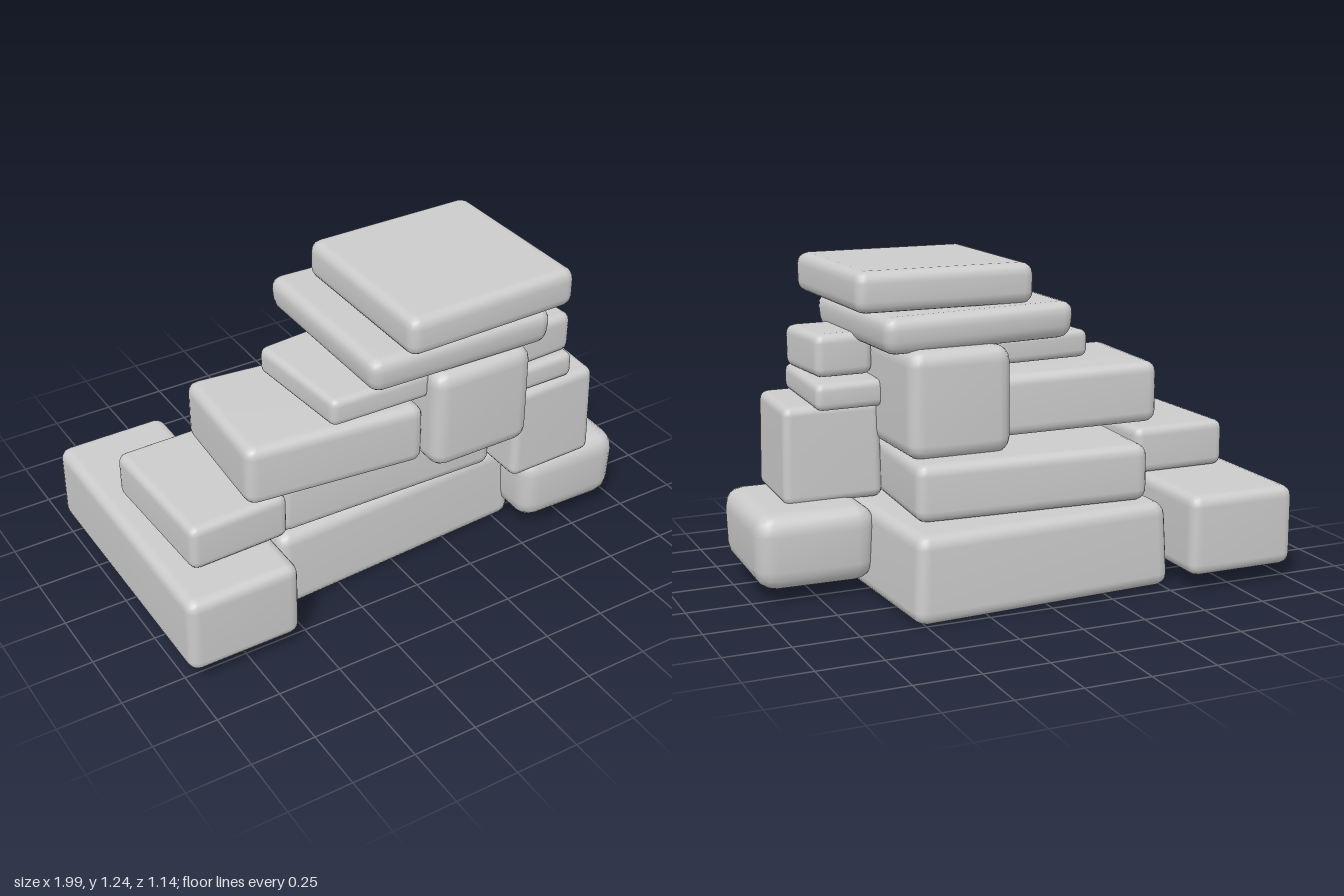
import * as THREE from 'three';
import { RoundedBoxGeometry } from 'three/addons/geometries/RoundedBoxGeometry.js';
import { mergeVertices } from 'three/addons/utils/BufferGeometryUtils.js';

const material = new THREE.MeshStandardMaterial({ color: 0xcccccc });

// A worn stone: a rounded block warped onto a four-cornered footprint.
// corners: [x, z] of back-left, back-right, front-right, front-left (seen from the front).
// r: edge radius, flare: how much the top is wider than the foot, tilt: y rise per x and per z.
function stone(name, y0, y1, corners, { r = 0.045, flare = 0, tilt = [0, 0] } = {}) {
  const [a, b, c, d] = corners;
  const w = (b[0] - a[0] + c[0] - d[0]) / 2;
  const l = (d[1] - a[1] + c[1] - b[1]) / 2;
  const h = y1 - y0;
  let geo = new RoundedBoxGeometry(w, h, l, 2, Math.min(r, h * 0.4));
  geo.deleteAttribute('normal');
  geo.deleteAttribute('uv');
  geo = mergeVertices(geo, 1e-4);
  const p = geo.attributes.position;
  const mix = (k, u, v) =>
    (a[k] * (1 - u) + b[k] * u) * (1 - v) + (d[k] * (1 - u) + c[k] * u) * v;
  for (let i = 0; i < p.count; i++) {
    const t = p.getY(i) / h + 0.5;
    const s = 1 - Math.abs(flare) * (flare > 0 ? 1 - t : t);
    const u = (p.getX(i) / w) * s + 0.5;
    const v = (p.getZ(i) / l) * s + 0.5;
    p.setXYZ(i, mix(0, u, v), y0 + t * h + tilt[0] * (u - 0.5) + tilt[1] * (v - 0.5), mix(1, u, v));
  }
  geo.computeVertexNormals();
  const mesh = new THREE.Mesh(geo, material);
  mesh.name = name;
  return mesh;
}

export function createModel() {
  const group = new THREE.Group();
  group.name = 'stonePile';
  group.add(
    // bottom course
    stone('baseStone', 0, 0.33, [[-0.53, -0.45], [0.54, -0.52], [0.58, 0.31], [-0.53, 0.37]],
      { r: 0.05, flare: -0.03 }),
    stone('leftFootStone', 0.06, 0.375, [[-1, -0.57], [-0.55, -0.57], [-0.55, 0.57], [-1, 0.57]]),
    stone('rightFootStone', 0.05, 0.345, [[0.52, -0.1], [1, -0.09], [0.98, 0.48], [0.52, 0.47]],
      { r: 0.08, flare: 0.04 }),
    // second course
    stone('leftStepStone', 0.375, 0.56, [[-0.92, -0.17], [-0.52, -0.175], [-0.5, 0.4], [-0.9, 0.41]],
      { r: 0.035 }),
    stone('middleStone', 0.33, 0.55, [[-0.46, -0.39], [0.47, -0.35], [0.43, 0.36], [-0.5, 0.34]]),
    stone('rightStepStone', 0.33, 0.71, [[0.44, 0.08], [0.84, 0.075], [0.82, 0.48], [0.44, 0.49]],
      { r: 0.035, flare: -0.03 }),
    // third course
    stone('leftUpperStone', 0.56, 0.805, [[-0.64, -0.13], [0.04, -0.08], [0.04, 0.47], [-0.67, 0.41]],
      { tilt: [-0.015, 0] }),
    stone('pillarStone', 0.54, 0.95, [[0.05, -0.27], [0.46, -0.27], [0.47, 0.54], [0.04, 0.54]],
      { r: 0.06 }),
    stone('rightThinStone', 0.7, 0.805, [[0.44, 0.04], [0.72, 0.03], [0.71, 0.47], [0.44, 0.47]],
      { r: 0.03, tilt: [0, 0.012] }),
    // fourth course
    stone('leftThinStone', 0.83, 0.94, [[-0.39, -0.01], [0.06, -0.05], [0.06, 0.47], [-0.35, 0.46]],
      { r: 0.03 }),
    stone('rightCapStone', 0.805, 0.97, [[0.46, 0.12], [0.69, 0.11], [0.715, 0.44], [0.46, 0.45]],
      { r: 0.035 }),
    // cap slabs
    stone('lowerCapSlab', 0.94, 1.08, [[-0.23, -0.23], [0.54, -0.23], [0.56, 0.53], [-0.23, 0.53]],
      { r: 0.05, flare: 0.03, tilt: [-0.02, 0] }),
    stone('topSlab', 1.08, 1.235, [[-0.09, -0.16], [0.62, -0.16], [0.63, 0.55], [-0.09, 0.56]],
      { r: 0.045 })
  );
  return group;
}
